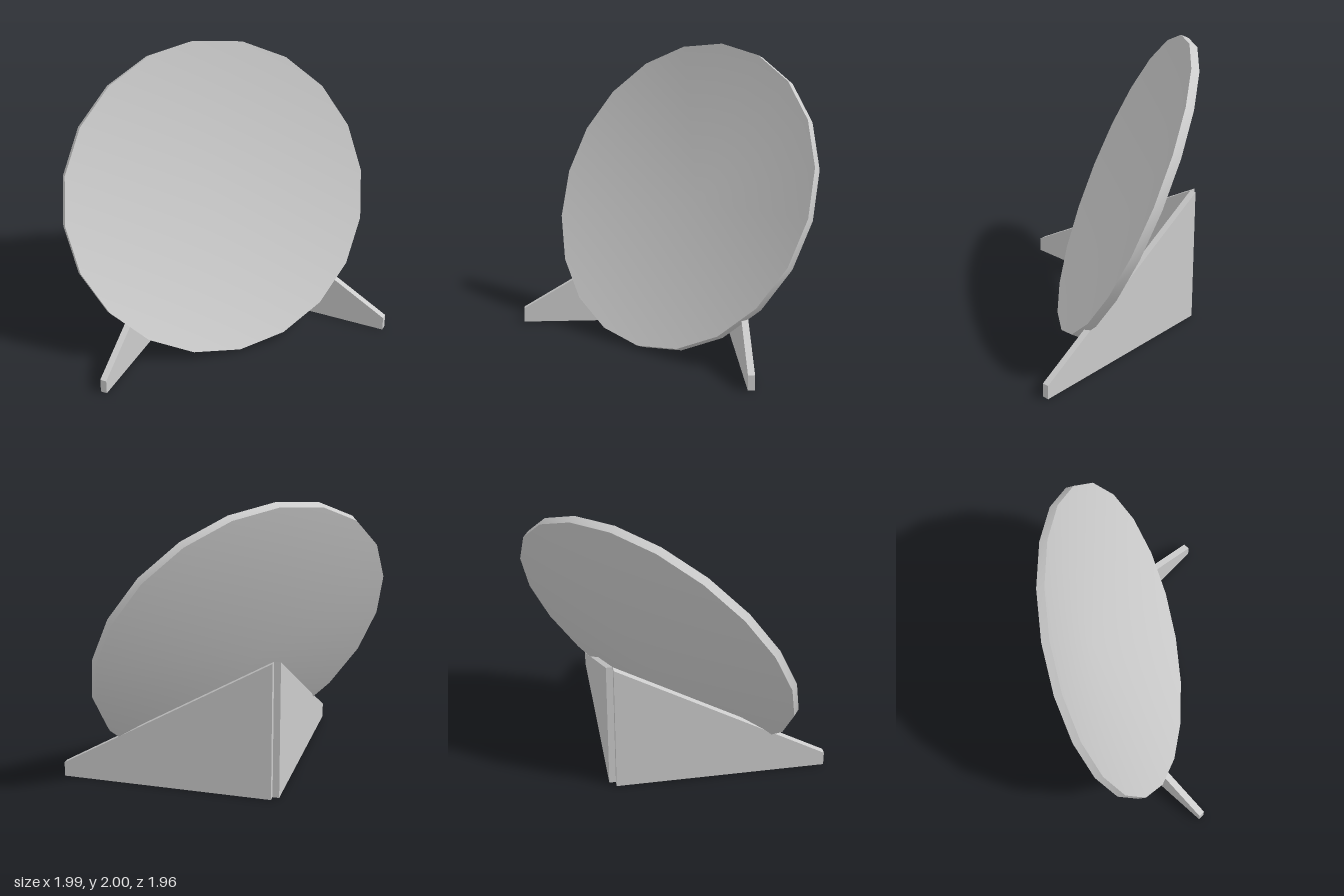
import * as THREE from 'three';
import { toCreasedNormals } from 'three/addons/utils/BufferGeometryUtils.js';

const material = new THREE.MeshStandardMaterial({ color: 0xcccccc });

// Upright wedge: tall at the corner, tapering to a low blunt end
function makeLeg(name) {
  const shape = new THREE.Shape([
    new THREE.Vector2(0, 0),
    new THREE.Vector2(1.45, 0),
    new THREE.Vector2(1.45, 0.1),
    new THREE.Vector2(0, 0.96),
  ]);
  const geometry = new THREE.ExtrudeGeometry(shape, { depth: 0.045, bevelEnabled: false });
  const leg = new THREE.Mesh(geometry, material);
  leg.name = name;
  return leg;
}

// Shallow hollow dish with a thin rim, turned about its own axis
function makeDish() {
  const radius = 1.083, depth = 0.2, thickness = 0.057;
  const profile = [
    [0, -depth - thickness],
    [radius, -thickness],
    [radius, 0],
    [0, -depth],
  ].map(([x, y]) => new THREE.Vector2(x, y));
  const geometry = toCreasedNormals(new THREE.LatheGeometry(profile, 20), 0.5);
  const dish = new THREE.Mesh(geometry, material);
  dish.name = 'dish';
  return dish;
}

export function createModel() {
  const model = new THREE.Group();
  model.name = 'dishOnStand';

  // Dish faces diagonally forward and 24 degrees upward
  const dish = makeDish();
  dish.rotation.order = 'YXZ';
  dish.rotation.set(THREE.MathUtils.degToRad(66), Math.PI / 4, 0);
  dish.position.set(-0.14, 1.012, -0.115);
  model.add(dish);

  // Two legs at right angles, touching along one vertical edge
  const sideLeg = makeLeg('sideLeg');
  sideLeg.position.set(-0.46, 0, -0.51);
  const frontLeg = makeLeg('frontLeg');
  frontLeg.rotation.y = -Math.PI / 2;
  frontLeg.position.set(-0.46, 0, -0.465);
  model.add(sideLeg, frontLeg);

  return model;
}
